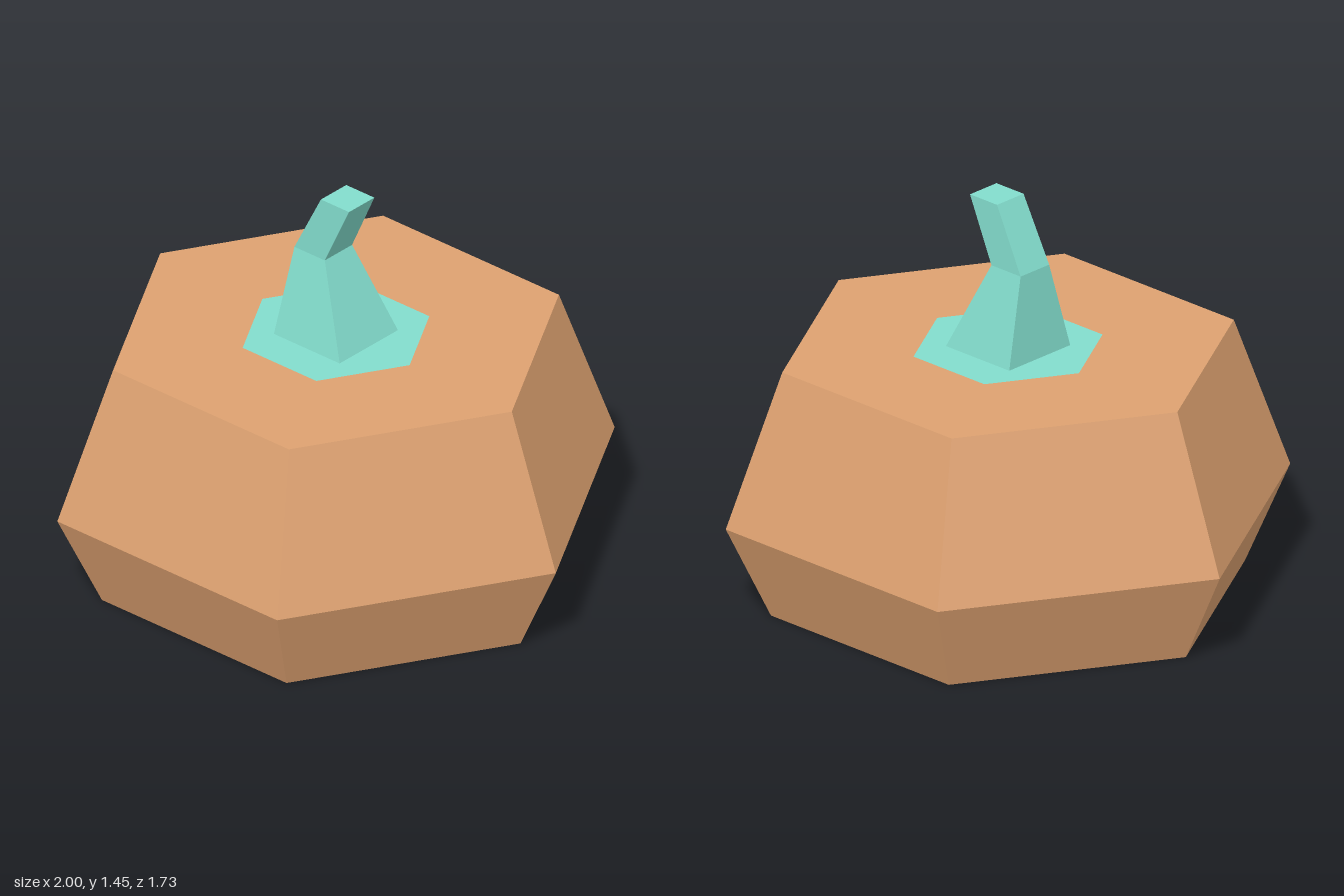
import * as THREE from 'three';

// Separate the faces so that each one is shaded flat
function faceted(geometry) {
  const flat = geometry.toNonIndexed();
  flat.computeVertexNormals();
  return flat;
}

function addPart(group, name, geometry, material) {
  const mesh = new THREE.Mesh(faceted(geometry), material);
  mesh.name = name;
  group.add(mesh);
  return mesh;
}

export function createModel() {
  const model = new THREE.Group();
  model.name = 'pumpkin';

  const skin = new THREE.MeshStandardMaterial({ color: 0xdda170 });
  skin.name = 'orange brown skin';
  const green = new THREE.MeshStandardMaterial({ color: 0x82dccc });
  green.name = 'teal stem';

  // Six-sided body, closed at the bottom and top
  const profile = [[0, 0], [0.84, 0], [1, 0.34], [0.8, 0.9], [0, 0.9]]
    .map(([r, y]) => new THREE.Vector2(r, y));
  addPart(model, 'body', new THREE.LatheGeometry(profile, 6, Math.PI / 2), skin);

  // Thin hexagonal patch around the stem
  const patch = new THREE.CircleGeometry(0.335, 6);
  patch.rotateX(-Math.PI / 2);
  addPart(model, 'stemPatch', patch, green).position.y = 0.902;

  // Tapered, bent stem: a box whose three levels are reshaped
  const levels = [
    { y: 0.9, x: 0, halfX: 0.15, halfZ: 0.15 },
    { y: 1.22, x: -0.058, halfX: 0.069, halfZ: 0.07 },
    { y: 1.45, x: 0.053, halfX: 0.064, halfZ: 0.065 },
  ];
  const stem = new THREE.BoxGeometry(2, 2, 2, 1, 2, 1);
  const p = stem.attributes.position;
  for (let i = 0; i < p.count; i++) {
    const s = levels[Math.round(p.getY(i)) + 1];
    p.setXYZ(i, s.x + p.getX(i) * s.halfX, s.y, p.getZ(i) * s.halfZ);
  }
  addPart(model, 'stem', stem, green);

  return model;
}
